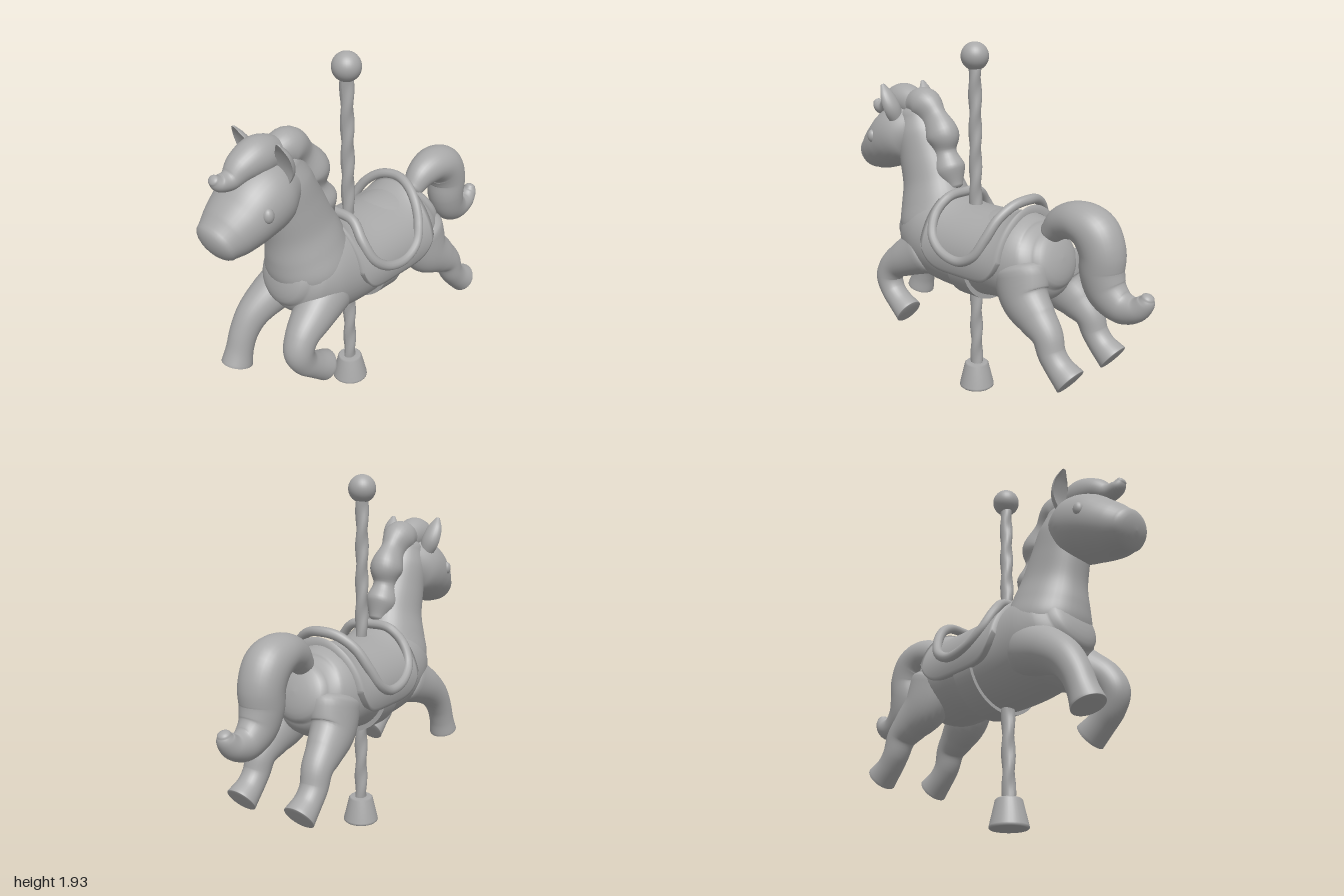
import * as THREE from 'three';

const coat = new THREE.MeshStandardMaterial({ color: 0xa8a8a8 });
coat.name = 'plain grey';
const coatOpen = new THREE.MeshStandardMaterial({ color: 0xa8a8a8, side: THREE.DoubleSide });
coatOpen.name = 'plain grey thin';

// Smooth loft through sections [x, y, z, half width, half depth], with domed ends.
// dome: height of the start and end caps relative to their radius; dent: scale of the forward half.
function loft(sections, { dome = [0.6, 0.6], dent = 1, sides = 32, steps = 6 } = {}) {
  const path = new THREE.CatmullRomCurve3(sections.map(s => new THREE.Vector3(s[0], s[1], s[2])));
  const size = new THREE.CatmullRomCurve3(sections.map(s => new THREE.Vector3(s[3], s[4], 0)), false, 'catmullrom', 0.5);
  const pos = [], index = [];
  let rings = 0;
  const ring = (t, scale, push) => {
    const p = path.getPoint(t), r = size.getPoint(t), tan = path.getTangent(t);
    const side = new THREE.Vector3(1, 0, 0).addScaledVector(tan, -tan.x).normalize();
    const nor = tan.clone().cross(side);
    p.addScaledVector(tan, push * Math.min(r.x, r.y));
    for (let j = 0; j < sides; j++) {
      const a = j / sides * Math.PI * 2, s = Math.sin(a);
      const v = p.clone().addScaledVector(side, r.x * scale * Math.cos(a))
        .addScaledVector(nor, r.y * scale * s * (s < 0 ? dent : 1));
      pos.push(v.x, v.y, v.z);
    }
    rings++;
  };
  const caps = 6, n = (sections.length - 1) * steps;
  for (let k = 0; k < caps; k++) {
    const f = (1 - k / caps) * Math.PI / 2;
    ring(0, Math.cos(f), -Math.sin(f) * dome[0]);
  }
  for (let i = 0; i <= n; i++) ring(i / n, 1, 0);
  for (let k = 1; k <= caps; k++) {
    const f = k / caps * Math.PI / 2;
    ring(1, Math.cos(f), Math.sin(f) * dome[1]);
  }
  for (let i = 0; i < rings - 1; i++) for (let j = 0; j < sides; j++) {
    const a = i * sides + j, b = i * sides + (j + 1) % sides;
    index.push(a, b, a + sides, b, b + sides, a + sides);
  }
  const g = new THREE.BufferGeometry();
  g.setAttribute('position', new THREE.Float32BufferAttribute(pos, 3));
  g.setIndex(index);
  g.computeVertexNormals();
  return g;
}

// Saddle pad: a curved sheet draped over the back, its border tucked inward
function padGeometry() {
  const nu = 28, nv = 48, pos = [], index = [];
  for (let i = 0; i <= nu; i++) for (let j = 0; j <= nv; j++) {
    const border = i === 0 || j === 0 || i === nu || j === nv;
    const u = THREE.MathUtils.clamp((i - 1) / (nu - 2), 0, 1) * 2 - 1;
    const v = THREE.MathUtils.clamp((j - 1) / (nv - 2), 0, 1) * 2 - 1;
    const a = v * (1.92 - 0.55 * Math.abs(u) ** 5), s = border ? 0.86 : 1;
    const lift = 0.06 * u ** 4 * Math.max(0, Math.cos(a)) ** 2;
    pos.push(0.272 * s * Math.sin(a), 0.84 + s * (0.24 * Math.cos(a) + lift), 0.01 + 0.275 * u);
  }
  for (let i = 0; i < nu; i++) for (let j = 0; j < nv; j++) {
    const a = i * (nv + 1) + j, b = a + nv + 1;
    index.push(a, b, a + 1, b, b + 1, a + 1);
  }
  const g = new THREE.BufferGeometry();
  g.setAttribute('position', new THREE.Float32BufferAttribute(pos, 3));
  g.setIndex(index);
  g.computeVertexNormals();
  return g;
}

export function createModel() {
  const model = new THREE.Group();
  const add = (name, geometry, x = 0, y = 0, z = 0, material = coat) => {
    const m = new THREE.Mesh(geometry, material);
    m.name = name;
    m.position.set(x, y, z);
    model.add(m);
    return m;
  };

  // Body, neck and head
  add('body', loft([
    [0, 0.89, -0.42, 0.16, 0.15], [0, 0.87, -0.36, 0.205, 0.205], [0, 0.855, -0.26, 0.235, 0.24],
    [0, 0.855, -0.12, 0.24, 0.235], [0, 0.835, 0.05, 0.235, 0.235], [0, 0.85, 0.25, 0.24, 0.25],
    [0, 0.88, 0.4, 0.235, 0.255], [0, 0.9, 0.5, 0.205, 0.21], [0, 0.92, 0.56, 0.16, 0.16],
  ], { dome: [0.4, 0.4], sides: 48 }));
  add('neck', loft([
    [0, 0.82, 0.41, 0.2, 0.2], [0, 0.95, 0.415, 0.215, 0.22], [0, 1.06, 0.435, 0.185, 0.21],
    [0, 1.17, 0.465, 0.152, 0.185], [0, 1.3, 0.51, 0.138, 0.165], [0, 1.43, 0.55, 0.128, 0.145], [0, 1.52, 0.57, 0.1, 0.11],
  ], { sides: 40 }));
  add('head', loft([
    [0, 1.44, 0.54, 0.12, 0.11], [0, 1.42, 0.63, 0.172, 0.165], [0, 1.385, 0.72, 0.183, 0.172],
    [0, 1.335, 0.81, 0.17, 0.15], [0, 1.295, 0.885, 0.145, 0.128], [0, 1.27, 0.94, 0.118, 0.103],
  ], { dome: [0.5, 0.5], sides: 40 }));

  // Ears, eyes and nostrils
  for (const s of [-1, 1]) {
    const label = s > 0 ? 'left' : 'right';
    add(label + 'Ear', loft([
      [s * 0.1, 1.49, 0.64, 0.04, 0.04], [s * 0.128, 1.56, 0.645, 0.054, 0.045],
      [s * 0.143, 1.63, 0.665, 0.045, 0.033], [s * 0.148, 1.685, 0.69, 0.014, 0.012],
    ], { dent: -0.25, sides: 24 }), 0, 0, 0, coatOpen);
    const eye = add(label + 'Eye', new THREE.SphereGeometry(1, 20, 14), s * 0.166, 1.395, 0.78);
    eye.scale.set(0.025, 0.036, 0.027);
    const nostril = add(label + 'Nostril', new THREE.TorusGeometry(0.017, 0.006, 8, 16), s * 0.08, 1.285, 0.963);
    nostril.rotation.y = s * 0.6;
  }

  // Mane, forelock and tail
  add('mane', loft([
    [0, 1.58, 0.6, 0.07, 0.07], [0, 1.58, 0.51, 0.09, 0.095], [0, 1.51, 0.44, 0.065, 0.085],
    [0, 1.42, 0.375, 0.09, 0.1], [0, 1.335, 0.355, 0.062, 0.065], [0, 1.24, 0.32, 0.085, 0.09], [0, 1.16, 0.275, 0.045, 0.04],
  ]));
  add('forelock', loft([
    [0, 1.57, 0.58, 0.07, 0.08], [0, 1.595, 0.68, 0.09, 0.093], [0, 1.575, 0.77, 0.078, 0.075],
    [0, 1.535, 0.845, 0.05, 0.048], [0, 1.54, 0.9, 0.042, 0.038], [0, 1.562, 0.925, 0.028, 0.025],
  ]));
  add('tail', loft([
    [0, 1.03, -0.4, 0.06, 0.06], [0, 1.09, -0.47, 0.085, 0.085], [0, 1.115, -0.57, 0.108, 0.1],
    [0, 1.08, -0.66, 0.115, 0.115], [0, 0.99, -0.707, 0.112, 0.113], [0, 0.89, -0.71, 0.105, 0.11],
    [0, 0.8, -0.745, 0.09, 0.103], [0, 0.745, -0.83, 0.07, 0.083], [0, 0.755, -0.91, 0.06, 0.06],
    [0, 0.8, -0.955, 0.045, 0.045], [0, 0.825, -0.965, 0.032, 0.032],
  ]));

  // Legs: one foreleg reaching, one curled, both hind legs stretched back
  const hoofed = { dome: [0.5, 0.08] };
  add('rightForeleg', loft([
    [-0.12, 0.8, 0.4, 0.12, 0.14], [-0.145, 0.73, 0.55, 0.105, 0.11], [-0.165, 0.65, 0.66, 0.085, 0.088],
    [-0.173, 0.56, 0.722, 0.074, 0.075], [-0.175, 0.47, 0.757, 0.072, 0.072], [-0.175, 0.395, 0.782, 0.08, 0.083],
  ], hoofed));
  add('leftForeleg', loft([
    [0.12, 0.79, 0.4, 0.12, 0.14], [0.145, 0.72, 0.53, 0.105, 0.11], [0.165, 0.655, 0.625, 0.085, 0.085],
    [0.175, 0.585, 0.658, 0.077, 0.078], [0.178, 0.51, 0.63, 0.07, 0.07], [0.18, 0.455, 0.57, 0.07, 0.07], [0.18, 0.405, 0.495, 0.078, 0.082],
  ], hoofed));
  for (const s of [-1, 1]) {
    add(s > 0 ? 'leftHindLeg' : 'rightHindLeg', loft([
      [s * 0.125, 0.83, -0.31, 0.12, 0.16], [s * 0.145, 0.71, -0.355, 0.108, 0.142], [s * 0.165, 0.63, -0.45, 0.09, 0.108],
      [s * 0.175, 0.565, -0.525, 0.078, 0.08], [s * 0.18, 0.48, -0.56, 0.07, 0.07], [s * 0.18, 0.42, -0.61, 0.07, 0.07], [s * 0.18, 0.37, -0.677, 0.08, 0.083],
    ], hoofed));
  }

  // Saddle: pad, raised rim and girth strap
  add('saddlePad', padGeometry(), 0, 0, 0, coatOpen);
  const half = [[0.12, 1.12, 0.215], [0.2, 1.04, 0.23], [0.25, 0.94, 0.2], [0.27, 0.87, 0.11], [0.272, 0.85, -0.02],
    [0.265, 0.9, -0.115], [0.235, 0.99, -0.165], [0.175, 1.09, -0.2], [0.09, 1.15, -0.23]];
  const rim = [[0, 1.13, 0.22], ...half, [0, 1.165, -0.245], ...half.slice().reverse().map(([x, y, z]) => [-x, y, z])];
  const rimCurve = new THREE.CatmullRomCurve3(rim.map(p => new THREE.Vector3(...p)), true);
  add('saddleRim', new THREE.TubeGeometry(rimCurve, 120, 0.026, 12, true));
  const girth = add('girthStrap', new THREE.CylinderGeometry(1, 1, 0.125, 48), 0, 0.825, 0.04);
  girth.rotation.x = Math.PI / 2;
  girth.scale.set(0.252, 1, 0.245);

  // Twisted pole with ball and base
  const pole = new THREE.CylinderGeometry(0.033, 0.033, 1.72, 20, 160, true);
  const p = pole.attributes.position;
  for (let i = 0; i < p.count; i++) {
    const a = Math.atan2(p.getZ(i), p.getX(i)), k = 1 + 0.1 * Math.cos(2 * a + p.getY(i) * 34);
    p.setXYZ(i, p.getX(i) * k, p.getY(i), p.getZ(i) * k);
  }
  pole.computeVertexNormals();
  add('pole', pole, 0, 0.97, 0.123);
  add('poleBall', new THREE.SphereGeometry(0.073, 32, 20), 0, 1.86, 0.123);
  const base = [[0, 0], [0.092, 0], [0.098, 0.006], [0.097, 0.015], [0.068, 0.137], [0.06, 0.145], [0, 0.145]];
  add('poleBase', new THREE.LatheGeometry(base.map(([x, y]) => new THREE.Vector2(x, y)), 32), 0, 0, 0.123);

  return model;
}
